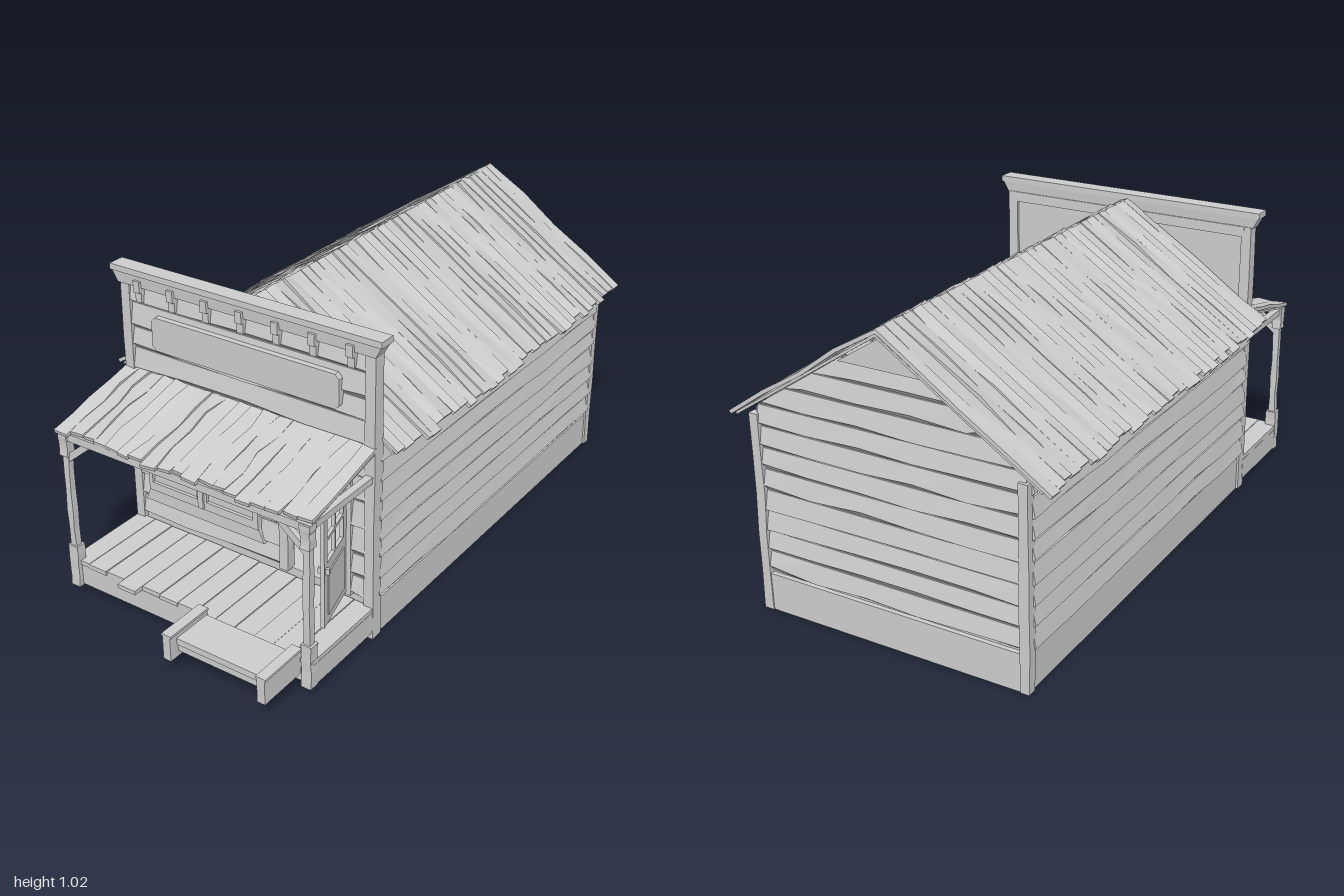
import * as THREE from 'three';

const mat = new THREE.MeshStandardMaterial({ color: 0xcccccc, flatShading: true, side: THREE.DoubleSide });

// Repeatable noise in -1..1 that depends on position, so shared corners stay joined
const noise = (a, b, c = 0) => {
  const s = Math.sin(a * 12.99 + b * 78.23 + c * 37.72) * 4375.85;
  return (s - Math.floor(s)) * 2 - 1;
};

function add(parent, name, geo, x = 0, y = 0, z = 0) {
  const m = new THREE.Mesh(geo, mat);
  m.name = name;
  m.position.set(x, y, z);
  parent.add(m);
  return m;
}

// Box given by its limits
const box = (p, name, x0, x1, y0, y1, z0, z1) =>
  add(p, name, new THREE.BoxGeometry(x1 - x0, y1 - y0, z1 - z0), (x0 + x1) / 2, (y0 + y1) / 2, (z0 + z1) / 2);

function warp(geo, rule) {
  const p = geo.attributes.position, v = new THREE.Vector3();
  for (let i = 0; i < p.count; i++) {
    v.fromBufferAttribute(p, i);
    rule(v);
    p.setXYZ(i, v.x, v.y, v.z);
  }
  geo.computeVertexNormals();
  return geo;
}

const poly = pts => new THREE.Shape(pts.map(([x, y]) => new THREE.Vector2(x, y)));
const rect = (x0, x1, y0, y1) => poly([[x0, y0], [x1, y0], [x1, y1], [x0, y1]]);
const slab = (shape, depth) => new THREE.ExtrudeGeometry(shape, { depth, bevelEnabled: false });

// One clapboard facing +z: chamfered wavy lower lip, thinner top edge
function clapboard(p, x0, x1, y0, y1, z, seed, limit) {
  const h = y1 - y0, t = 0.018, n = Math.max(1, Math.round((x1 - x0) / 0.2));
  const g = warp(new THREE.BoxGeometry(x1 - x0, h, t, n, 1, 1), v => {
    const wob = noise(Math.round(v.x * 100), seed);
    const low = v.y < 0;
    v.x += (x0 + x1) / 2;
    if (v.z > 0) {
      if (low) v.y += 0.014 + wob * 0.008;
      else v.z -= 0.012;
    }
    v.y += (y0 + y1) / 2;
    if (limit) v.x = THREE.MathUtils.clamp(v.x, -limit(v.y), limit(v.y));
  });
  add(p, 'clapboard', g, 0, 0, z + t / 2);
}

// Post with slightly crooked worn edges
function post(p, name, x, z, w, y0, y1, d = w) {
  const g = warp(new THREE.BoxGeometry(w, y1 - y0, d, 1, 5, 1), v => {
    const k = Math.round(v.y * 100);
    v.x += noise(k, x, v.x > 0 ? 1 : 2) * 0.002;
    v.z += noise(k, z, v.z > 0 ? 3 : 4) * 0.002;
  });
  add(p, name, g, x, (y0 + y1) / 2, z);
}

// Row of uneven boards running down a slope (local +x), side by side along z
function plankRoof(p, name, len, z0, z1, count, seed, rough) {
  const g = new THREE.Group();
  g.name = name;
  p.add(g);
  const w = (z1 - z0) / count;
  add(g, 'sheathing', new THREE.BoxGeometry(len - 0.02, 0.008, z1 - z0 - 0.01), len / 2 - 0.01, -0.012, (z0 + z1) / 2);
  for (let i = 0; i < count; i++) {
    const l = len + noise(i, seed) * 0.012, tilt = noise(i, seed, 5) * 0.15;
    const geo = warp(new THREE.BoxGeometry(l, 0.012, w, 4, 1, 1), v => {
      const k = Math.round(v.x * 50), edge = v.z > 0 ? 1 : 0;
      v.y += v.z * tilt + noise(k, i, seed + edge) * rough;
      if (i + edge > 0 && i + edge < count) v.z += noise(k, i + edge, seed) * 0.008;
    });
    add(g, 'roofBoard', geo, l / 2, 0, z0 + (i + 0.5) * w);
  }
  return g;
}

export function createModel() {
  const model = new THREE.Group();
  model.name = 'storeBuilding';
  const group = name => {
    const g = new THREE.Group();
    g.name = name;
    model.add(g);
    return g;
  };
  const L = -0.465, R = 0.48, ridge = 0.985, eave = 0.64;
  const gable = y => Math.max(0.01, Math.min(0.455, (ridge - y) / 0.667));

  // Shell: side walls, back gable, raised floor, skirt
  const shell = group('shell');
  const sideRows = [0.13, 0.2, 0.27, 0.335, 0.405, 0.47, 0.54, 0.605, 0.66];
  for (const s of [-1, 1]) {
    const x = s < 0 ? -0.445 : 0.458;
    box(shell, 'sideWall', x - 0.01, x + 0.01, 0.1, 0.67, -0.96, 0.48);
    box(shell, 'sideSkirt', x - 0.012, x + 0.016, 0, 0.125, -0.97, 0.48);
    const side = new THREE.Group();
    side.name = 'sideSiding';
    side.rotation.y = s * Math.PI / 2;
    side.position.z = -0.24;
    shell.add(side);
    for (let i = 0; i < 8; i++) clapboard(side, -0.72, 0.72, sideRows[i], sideRows[i + 1], s < 0 ? 0.455 : 0.466, i + s * 20);
  }
  box(shell, 'floor', -0.45, 0.465, 0.12, 0.135, -0.96, 0.49);
  box(shell, 'backSkirt', -0.45, 0.465, 0, 0.125, -0.98, -0.95);
  const backWall = poly([[-0.45, 0.1], [0.465, 0.1], [0.465, 0.67], [0, 0.98], [-0.45, 0.67]]);
  add(shell, 'backWall', slab(backWall, 0.015), 0, 0, -0.965);
  const back = new THREE.Group();
  back.name = 'backSiding';
  back.rotation.y = Math.PI;
  shell.add(back);
  for (let i = 0; i < 12; i++) clapboard(back, -0.455, 0.455, 0.13 + i * 0.069, 0.13 + (i + 1) * 0.069, 0.963, i + 70, gable);
  add(back, 'gablePeakPanel', slab(poly([[-0.14, 0.885], [0.14, 0.885], [0, 0.975]]), 0.022), 0, 0, 0.963);
  for (const x of [L + 0.016, R - 0.016]) post(shell, 'rearCornerPost', x, -0.967, 0.032, 0, 0.655);

  // Main roof
  const angle = Math.atan2(0.355, 0.54), slope = Math.hypot(0.54, 0.355);
  const rightSlope = plankRoof(model, 'roofSlope', slope, -1, 0.475, 34, 3, 0.005);
  rightSlope.position.y = 1.003;
  rightSlope.rotation.z = -angle;
  const leftSlope = plankRoof(model, 'roofSlope', slope, -0.475, 1, 34, 11, 0.005);
  leftSlope.position.y = 1.003;
  leftSlope.rotation.set(0, Math.PI, -angle);

  // False front with doorway
  const front = group('falseFront');
  const wall = rect(-0.45, 0.465, 0, 0.98);
  wall.holes.push(rect(0.165, 0.378, 0.135, 0.555));
  add(front, 'frontWall', slab(wall, 0.015), 0, 0, 0.482);
  const rows = [0.13, 0.2, 0.28, 0.38, 0.47, 0.555, 0.67, 0.745, 0.815, 0.9, 0.975];
  for (let i = 0; i < 10; i++) {
    const y0 = rows[i], y1 = rows[i + 1];
    if (i < 5) {
      clapboard(front, -0.435, 0.14, y0, y1, 0.495, i + 40);
      clapboard(front, 0.395, 0.45, y0, y1, 0.495, i + 50);
    } else clapboard(front, -0.435, 0.45, y0, y1, 0.495, i + 40);
  }
  for (const x of [L + 0.017, R - 0.017]) post(front, 'frontCornerPost', x, 0.493, 0.034, 0, 0.97, 0.044);
  box(front, 'backRail', -0.44, 0.455, 0.935, 0.97, 0.47, 0.49);

  // Cornice flaring outward at the top
  const cornice = warp(new THREE.BoxGeometry(0.95, 0.04, 0.045), v => {
    if (v.y > 0) { v.x *= 1.045; v.z *= 1.15; }
  });
  add(front, 'cornice', cornice, 0.0075, 0.985, 0.497);
  box(front, 'corniceCap', -0.492, 0.507, 1.003, 1.023, 0.468, 0.526);
  for (let i = 0; i < 7; i++) {
    const x = -0.385 + i * 0.131;
    box(front, 'corniceBracket', x - 0.012, x + 0.012, 0.95, 0.988, 0.505, 0.53);
    box(front, 'corniceBracketFoot', x - 0.012, x + 0.012, 0.915, 0.95, 0.505, 0.521);
  }
  const c = 0.014;
  add(front, 'signBoard', slab(poly([[-0.337 + c, 0.767], [0.363 - c, 0.767], [0.363, 0.767 + c], [0.363, 0.88 - c],
    [0.363 - c, 0.88], [-0.337 + c, 0.88], [-0.337, 0.88 - c], [-0.337, 0.767 + c]]), 0.022), 0, 0, 0.502);

  // Paired window with divided upper sashes
  const win = group('window');
  const frame = rect(-0.39, 0.055, 0.245, 0.558);
  for (const x of [-0.375, -0.15]) {
    frame.holes.push(rect(x, x + 0.085, 0.44, 0.555), rect(x + 0.1, x + 0.185, 0.44, 0.555), rect(x, x + 0.185, 0.275, 0.418));
    box(win, 'sashRail', x - 0.008, x + 0.193, 0.421, 0.434, 0.51, 0.53);
  }
  add(win, 'windowFrame', slab(frame, 0.022), 0, 0, 0.502);
  box(win, 'glass', -0.385, 0.05, 0.25, 0.556, 0.5, 0.513);
  box(win, 'centreMullion', -0.181, -0.16, 0.25, 0.556, 0.51, 0.531);
  add(win, 'sill', slab(poly([[-0.41, 0.2], [0.075, 0.2], [0.055, 0.247], [-0.39, 0.247]]), 0.018), 0, 0, 0.502);

  // Doorway trim and open door with glazed upper half
  const doorway = group('doorway');
  post(doorway, 'doorJamb', 0.15, 0.505, 0.032, 0.13, 0.56, 0.03);
  post(doorway, 'doorJamb', 0.388, 0.5, 0.02, 0.13, 0.56, 0.03);
  box(doorway, 'doorHeader', 0.13, 0.4, 0.553, 0.575, 0.49, 0.517);
  const leaf = rect(0, 0.2, 0.14, 0.555);
  for (const x of [0.03, 0.105]) for (const y of [0.355, 0.438]) leaf.holes.push(rect(x, x + 0.065, y, y + 0.073));
  const door = add(doorway, 'door', slab(leaf, 0.012), 0.382, 0, 0.512);
  door.rotation.y = -1.3;
  for (const z of [-0.004, 0.012]) box(door, 'doorPanel', 0.03, 0.17, 0.17, 0.32, z, z + 0.004);
  box(door, 'doorHandle', 0.18, 0.19, 0.325, 0.345, -0.012, 0.024);

  // Porch deck, posts and braces
  const porch = group('porch');
  for (let i = 0; i < 13; i++) {
    const x = L + i * 0.0727, end = i === 3 ? 0.855 : 0.826 + noise(i, 4) * 0.005;
    box(porch, 'deckBoard', x + 0.001, x + 0.0715, 0.1, 0.114 + noise(i, 2) * 0.003, 0.505, end);
  }
  box(porch, 'deckFrontSkirt', L, R, 0.025, 0.1, 0.802, 0.822);
  for (const x of [L, R - 0.02]) box(porch, 'deckSideSkirt', x, x + 0.02, 0.025, 0.1, 0.505, 0.815);
  for (const s of [-1, 1]) {
    const x = s < 0 ? L + 0.018 : R - 0.018;
    post(porch, 'porchPostBase', x, 0.82, 0.036, 0.02, 0.17);
    post(porch, 'porchPost', x, 0.82, 0.023, 0.17, 0.5);
    post(porch, 'porchPostHead', x, 0.82, 0.033, 0.5, 0.58);
    const brace = poly([[0, 0.475], [0, 0.505], [-s * 0.065, 0.558], [-s * 0.1, 0.558]]);
    add(porch, 'postBrace', slab(brace, 0.018), x - s * 0.008, 0, 0.81);
    box(porch, 'sideBeam', x - 0.012, x + 0.012, 0.555, 0.577, 0.505, 0.82);
  }
  box(porch, 'frontBeam', L, R, 0.556, 0.582, 0.808, 0.832);

  // Porch roof
  const awning = plankRoof(porch, 'porchRoof', Math.hypot(0.335, 0.08), -0.482, 0.468, 19, 23, 0.004);
  awning.position.set(0, 0.668, 0.503);
  awning.rotation.set(0, -Math.PI / 2, -Math.atan2(0.08, 0.335));

  // Entry step between two cheek boards
  const step = group('entryStep');
  box(step, 'stepTread', 0.085, 0.41, 0.1, 0.122, 0.83, 0.97);
  box(step, 'stepRiser', 0.085, 0.41, 0.075, 0.1, 0.945, 0.965);
  for (const x of [0.062, 0.408]) {
    box(step, 'stepCheek', x, x + 0.028, 0.056, 0.142, 0.825, 1);
    box(step, 'stepCheekCap', x - 0.004, x + 0.032, 0.138, 0.146, 0.825, 1);
  }
  return model;
}
